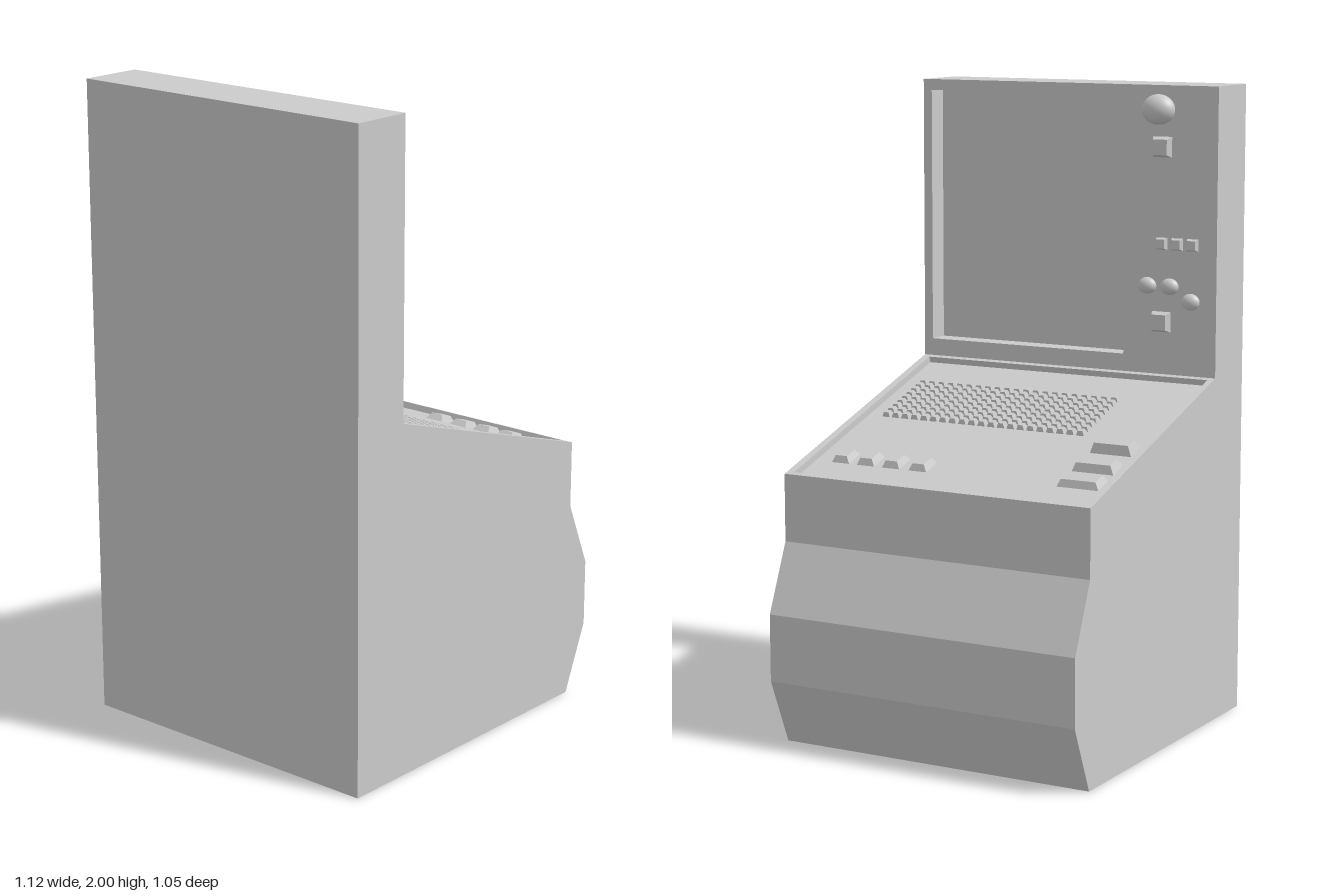
import * as THREE from 'three';

const mat = new THREE.MeshStandardMaterial({ color: 0xcccccc, side: THREE.DoubleSide });
const HALF = 0.525;

function mesh(name, geometry, parent) {
  const m = new THREE.Mesh(geometry, mat);
  m.name = name;
  parent.add(m);
  return m;
}

// Flat-topped key whose upper face is inset, standing on z = 0
function keyGeometry(w, h, depth, inset) {
  const g = new THREE.BoxGeometry(w, h, depth).translate(0, 0, depth / 2);
  const p = g.attributes.position;
  for (let i = 0; i < p.count; i++) {
    if (p.getZ(i) < depth / 2) continue;
    p.setX(i, p.getX(i) - Math.sign(p.getX(i)) * inset);
    p.setY(i, p.getY(i) - Math.sign(p.getY(i)) * inset);
  }
  g.computeVertexNormals();
  return g;
}

// Panel spanning the cabinet width from profile point a to b.
// Local x runs across, y along the profile, z outwards.
function panel(name, a, b, parent, recess) {
  const group = new THREE.Group();
  group.name = name;
  const v = new THREE.Vector3(b[0] - a[0], b[1] - a[1], 0);
  const len = v.length();
  v.normalize();
  const u = new THREE.Vector3(0, 0, -1);
  const n = new THREE.Vector3().crossVectors(u, v);
  group.quaternion.setFromRotationMatrix(new THREE.Matrix4().makeBasis(u, v, n));
  group.position.set(a[0], a[1], 0);
  parent.add(group);

  const rect = (x0, y0, x1, y1) => [[x0, y0], [x1, y0], [x1, y1], [x0, y1]].map(p => new THREE.Vector2(...p));
  const shape = new THREE.Shape(rect(-HALF, 0, HALF, len));
  if (recess) {
    const { x0, y0, x1, y1, depth } = recess;
    shape.holes.push(new THREE.Path(rect(x0, y0, x1, y1).reverse()));
    // Open tray: a box without its outer face
    const tray = new THREE.BoxGeometry(x1 - x0, y1 - y0, depth);
    const idx = Array.from(tray.index.array);
    idx.splice(24, 6);
    for (let i = 0; i < idx.length; i += 3) [idx[i], idx[i + 1]] = [idx[i + 1], idx[i]];
    tray.setIndex(idx);
    tray.computeVertexNormals();
    tray.translate((x0 + x1) / 2, (y0 + y1) / 2, -depth / 2);
    mesh(name + 'Recess', tray, group);
  }
  mesh(name + 'Face', new THREE.ShapeGeometry(shape), group);
  return group;
}

export function createModel() {
  const model = new THREE.Group();
  model.name = 'consoleCabinet';

  // Cabinet profile in x, y; the underside stays open
  const profile = [
    [0.47, 0], [0.56, 0.21], [0.56, 0.42], [0.47, 0.63], [0.47, 0.84],
    [-0.36, 1.1], [-0.36, 2], [-0.56, 2], [-0.56, 0],
  ];
  const names = ['lowerFront', 'bulgeFront', 'upperBulge', 'deskFront',
    'desk', 'screenWall', 'top', 'back'];
  const recesses = {
    desk: { x0: -0.5, y0: 0.016, x1: 0.505, y1: 0.854, depth: 0.02 },
    screenWall: { x0: -0.495, y0: 0.055, x1: 0.205, y1: 0.865, depth: 0.07 },
  };
  const panels = {};
  names.forEach((name, i) => {
    panels[name] = panel(name, profile[i], profile[i + 1], model, recesses[name]);
  });

  // Side walls
  const side = new THREE.Shape(profile.map(p => new THREE.Vector2(...p)));
  mesh('leftWall', new THREE.ShapeGeometry(side), model).position.z = HALF;
  const far = new THREE.ShapeGeometry(side);
  far.index.array.reverse();
  far.computeVertexNormals();
  mesh('rightWall', far, model).position.z = -HALF;

  // Keys on the desk, placed by their x and z on the cabinet
  const slope = 0.954;
  const deskKey = (name, geometry, x, z, parent) =>
    mesh(name, geometry, parent).position.set(-z, (0.464 - x) / slope, -0.02);

  const keyboard = new THREE.Group();
  keyboard.name = 'keyboard';
  panels.desk.add(keyboard);
  const smallKey = keyGeometry(0.027, 0.027, 0.014, 0.005);
  for (let row = 0; row < 21; row++) {
    for (let col = 0; col < 9; col++) {
      deskKey('key', smallKey, -0.207 + col * 0.028, -0.257 + row * 0.0346, keyboard);
    }
  }

  // Long keys at the right, square keys at the front
  [[0.092, 0.03], [0.207, 0.025], [0.302, 0.021]].forEach(([x, h]) =>
    deskKey('longKey', keyGeometry(0.138, 0.068, h, 0.012), x, -0.41, panels.desk));
  const squareKey = keyGeometry(0.062, 0.068, 0.02, 0.011);
  [0.135, 0.23, 0.32, 0.41].forEach(z => deskKey('squareKey', squareKey, 0.302, z, panels.desk));

  // Controls beside the screen
  const wall = panels.screenWall;
  const wallButton = (z, y, size, depth, inset) =>
    mesh('wallButton', keyGeometry(size, size, depth, inset), wall).position.set(-z, y - 1.1, 0);
  wallButton(-0.337, 1.81, 0.064, 0.022, 0.008);
  wallButton(-0.337, 1.265, 0.064, 0.022, 0.008);
  [-0.337, -0.39, -0.443].forEach(z => wallButton(z, 1.51, 0.038, 0.013, 0.005));

  const dome = new THREE.SphereGeometry(1, 32, 20, 0, Math.PI);
  const knob = (name, z, y, rx, ry, depth) => {
    const k = mesh(name, dome, wall);
    k.position.set(-z, y - 1.1, 0);
    k.scale.set(rx, ry, depth);
  };
  knob('largeKnob', -0.322, 1.925, 0.056, 0.047, 0.042);
  [[-0.288, 1.377], [-0.365, 1.377], [-0.438, 1.333]].forEach(([z, y]) =>
    knob('smallKnob', z, y, 0.031, 0.026, 0.022));

  return model;
}
